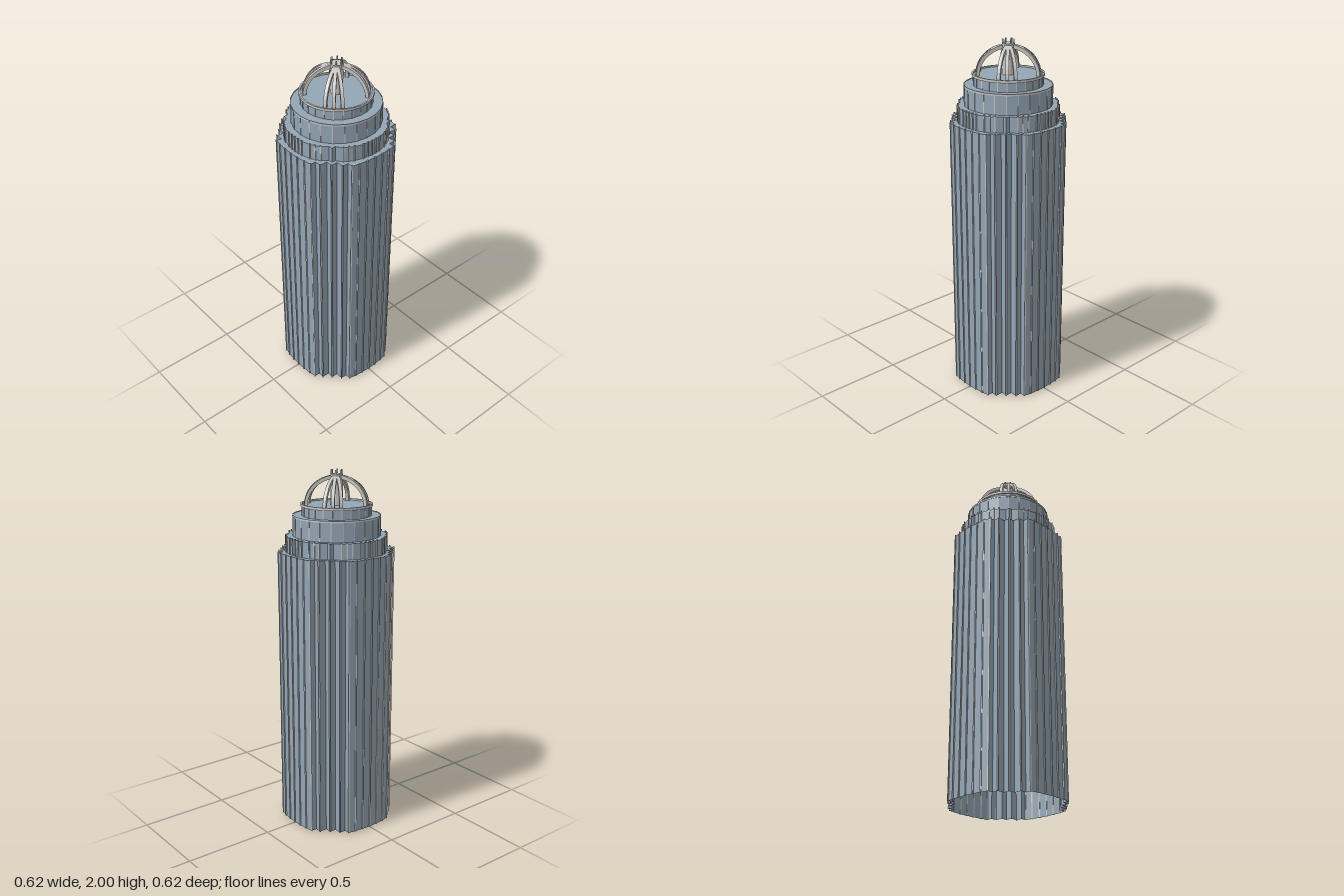
import * as THREE from 'three';
import { mergeGeometries } from 'three/addons/utils/BufferGeometryUtils.js';

const glass = new THREE.MeshStandardMaterial({ color: 0x93a5b5, side: THREE.DoubleSide, flatShading: true });
glass.name = 'blueGreyGlass';
const metal = new THREE.MeshStandardMaterial({ color: 0xc8c6c4, flatShading: true });
metal.name = 'paleMetal';

// Repeats the points of one quarter plan around the four sides
function fourSides(quarter) {
  const points = [];
  for (let k = 0; k < 4; k++) {
    for (const [x, y] of quarter) {
      const p = [[x, y], [-y, x], [-x, -y], [y, -x]][k];
      points.push(new THREE.Vector2(p[0], p[1]));
    }
  }
  return points;
}

function circle(radius, sides) {
  return Array.from({ length: sides }, (_, i) => {
    const a = (i / sides) * Math.PI * 2;
    return new THREE.Vector2(radius * Math.cos(a), radius * Math.sin(a));
  });
}

function mesh(name, geometry, material) {
  const m = new THREE.Mesh(geometry, material);
  m.name = name;
  return m;
}

// Walls and roof over a plan, open underneath
function tier(name, plan, bottom, top) {
  const group = new THREE.Group();
  group.name = name;
  const pos = [];
  plan.forEach((a, i) => {
    const b = plan[(i + 1) % plan.length];
    pos.push(a.x, bottom, -a.y, b.x, bottom, -b.y, b.x, top, -b.y);
    pos.push(a.x, bottom, -a.y, b.x, top, -b.y, a.x, top, -a.y);
  });
  const walls = new THREE.BufferGeometry();
  walls.setAttribute('position', new THREE.Float32BufferAttribute(pos, 3));
  walls.computeVertexNormals();
  const roof = new THREE.ShapeGeometry(new THREE.Shape(plan));
  roof.rotateX(-Math.PI / 2).translate(0, top, 0);
  group.add(mesh(name + 'Walls', walls, glass), mesh(name + 'Roof', roof, glass));
  return group;
}

// Slim upright bars facing outwards at each plan point
function fins(name, points, bottom, top, size) {
  const bars = points.map((p) => {
    const bar = new THREE.BoxGeometry(size, top - bottom, size);
    bar.rotateY(Math.atan2(p.y, p.x));
    return bar.translate(p.x, (top + bottom) / 2, -p.y);
  });
  return mesh(name, mergeGeometries(bars), metal);
}

function ring(name, outer, inner, bottom, top, sides) {
  const shape = new THREE.Shape(circle(outer, sides));
  shape.holes.push(new THREE.Path(circle(inner, sides).reverse()));
  const geo = new THREE.ExtrudeGeometry(shape, { depth: top - bottom, bevelEnabled: false });
  geo.rotateX(-Math.PI / 2).translate(0, bottom, 0);
  return mesh(name, geo, metal);
}

export function createModel() {
  const model = new THREE.Group();
  model.name = 'roundTower';

  // Main shaft with stepped corners
  const shaftPlan = fourSides([
    [0.305, 0], [0.303, 0.05], [0.298, 0.1], [0.29, 0.142],
    [0.258, 0.142], [0.258, 0.178], [0.215, 0.178], [0.215, 0.215],
    [0.178, 0.215], [0.178, 0.258], [0.142, 0.258], [0.142, 0.29],
    [0.1, 0.298], [0.05, 0.303],
  ]);
  model.add(tier('shaft', shaftPlan, 0, 1.565));
  const shaftFins = fourSides([
    [0.307, 0], [0.305, 0.05], [0.3, 0.1], [0.29, 0.142],
    [0.259, 0.179], [0.217, 0.217], [0.179, 0.259],
    [0.142, 0.29], [0.1, 0.3], [0.05, 0.305],
  ]);
  model.add(fins('shaftFins', shaftFins, 0, 1.57, 0.007));

  // First setback with small square corners
  const setbackPlan = fourSides([
    [0.277, 0], [0.273, 0.052], [0.26, 0.1], [0.232, 0.15],
    [0.197, 0.175], [0.197, 0.197], [0.175, 0.197],
    [0.15, 0.232], [0.1, 0.26], [0.052, 0.273],
  ]);
  model.add(tier('lowerSetback', setbackPlan, 1.565, 1.65));
  const setbackFins = fourSides([
    [0.279, 0], [0.277, 0.026], [0.275, 0.053], [0.262, 0.101],
    [0.248, 0.126], [0.233, 0.151], [0.151, 0.233],
    [0.126, 0.248], [0.101, 0.262], [0.053, 0.275], [0.026, 0.277],
  ]);
  model.add(fins('lowerSetbackFins', setbackFins, 1.565, 1.658, 0.006));

  // Round upper setback
  model.add(tier('upperSetback', circle(0.239, 24), 1.65, 1.758));
  model.add(fins('upperSetbackFins', circle(0.239, 24), 1.65, 1.762, 0.004));
  model.add(ring('upperSetbackRim', 0.241, 0.238, 1.752, 1.762, 24));

  // Crown drum and its projecting rim
  model.add(tier('crownDrum', circle(0.188, 24), 1.758, 1.813));
  model.add(fins('crownFins', circle(0.188, 24), 1.758, 1.81, 0.005));
  model.add(ring('crownRim', 0.196, 0.187, 1.808, 1.822, 24));

  // Open dome: three curved ribs on each diagonal
  const arch = new THREE.Shape();
  arch.moveTo(0.176, 0);
  arch.absellipse(0, 0, 0.176, 0.16, 0, Math.PI / 2, false);
  arch.lineTo(0, 0.14);
  arch.absellipse(0, 0, 0.158, 0.14, Math.PI / 2, 0, true);
  const ribGeo = new THREE.ExtrudeGeometry(arch, { depth: 0.018, bevelEnabled: false, curveSegments: 6 });
  ribGeo.translate(0, 1.813, -0.009);
  const dome = new THREE.Group();
  dome.name = 'openDome';
  for (let side = 0; side < 4; side++) {
    for (const angle of [30, 45, 60]) {
      const rib = mesh('domeRib', ribGeo, metal);
      rib.rotation.y = THREE.MathUtils.degToRad(side * 90 + angle);
      dome.add(rib);
    }
  }
  model.add(dome);

  // Central column topped by a circle of pins
  const column = new THREE.CylinderGeometry(0.034, 0.034, 0.165, 16);
  column.translate(0, 1.8955, 0);
  model.add(mesh('centralColumn', column, metal));
  const pins = circle(0.03, 6).map((p) => p.rotateAround(new THREE.Vector2(), 0.26));
  model.add(fins('topPins', pins, 1.96, 2, 0.007));

  return model;
}
